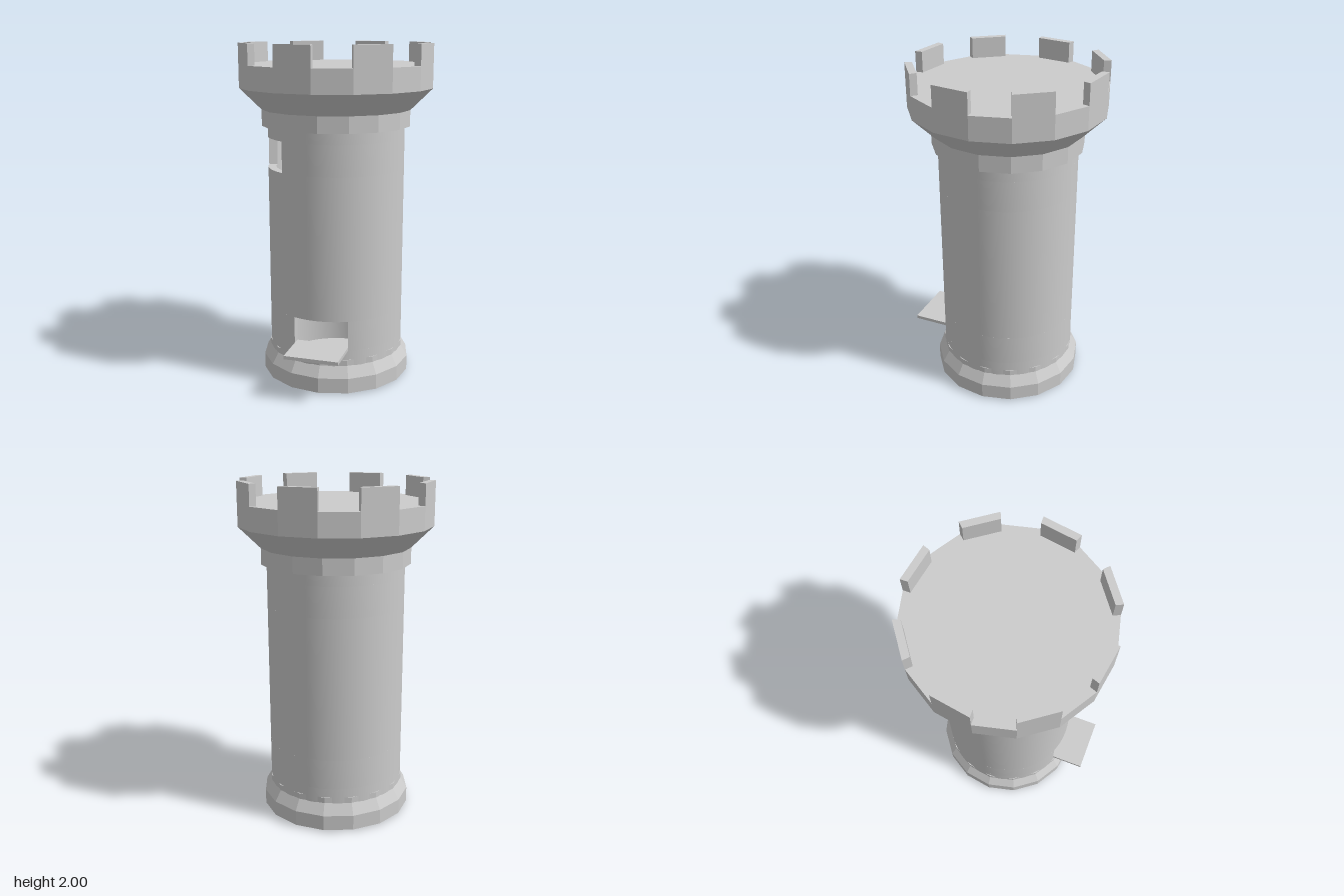
import * as THREE from 'three';
import { toCreasedNormals } from 'three/addons/utils/BufferGeometryUtils.js';

const rad = THREE.MathUtils.degToRad;
const OUTER = 0.405, INNER = 0.357;

export function createModel() {
  const model = new THREE.Group();
  model.name = 'tower';
  const smooth = new THREE.MeshStandardMaterial({ color: 0xcccccc, side: THREE.DoubleSide });
  const flat = new THREE.MeshStandardMaterial({ color: 0xcccccc, flatShading: true });

  function add(name, geometry, material, parent = model) {
    const mesh = new THREE.Mesh(geometry, material);
    mesh.name = name;
    parent.add(mesh);
    return mesh;
  }

  // Plan shape raised from y0 to y1
  function raise(shape, y0, y1) {
    const g = new THREE.ExtrudeGeometry(shape, { depth: y1 - y0, bevelEnabled: false, curveSegments: 48 });
    g.rotateX(-Math.PI / 2);
    g.translate(0, y0, 0);
    return g;
  }

  // Sixteen-sided turned part
  const turned = (points) =>
    new THREE.LatheGeometry(points.map(([r, y]) => new THREE.Vector2(r, y)), 16);

  // Hollow shaft wall; an opening has parallel reveals at t0 and t1 beside its facing angle
  function wall(y0, y1, opening) {
    const shape = new THREE.Shape();
    if (opening) {
      const { angle, t0, t1 } = opening;
      const start = (r) => angle + Math.asin(t1 / r);
      const end = (r) => angle + Math.PI * 2 + Math.asin(t0 / r);
      shape.absarc(0, 0, OUTER, start(OUTER), end(OUTER), false);
      shape.absarc(0, 0, INNER, end(INNER), start(INNER), true);
      shape.closePath();
    } else {
      shape.absarc(0, 0, OUTER, 0, Math.PI * 2, false);
      const hole = new THREE.Path();
      hole.absarc(0, 0, INNER, 0, Math.PI * 2, true);
      shape.holes.push(hole);
    }
    return toCreasedNormals(raise(shape, y0, y1), 0.6);
  }

  // Shaft with a low doorway and a high window
  const door = { angle: rad(200), t0: -0.145, t1: 0.175 };
  const windowSlot = { angle: rad(144.5), t0: -0.152, t1: 0.152 };
  const shaft = new THREE.Group();
  shaft.name = 'shaft';
  model.add(shaft);
  add('lowerWall', wall(0.02, 0.255), smooth, shaft);
  add('doorwayWall', wall(0.255, 0.435, door), smooth, shaft);
  add('middleWall', wall(0.435, 1.28), smooth, shaft);
  add('windowWall', wall(1.28, 1.46, windowSlot), smooth, shaft);
  add('upperWall', wall(1.46, 1.54), smooth, shaft);

  // Foot disc and faceted plinth, hollow inside above its floor
  const foot = add('foot', new THREE.CylinderGeometry(0.385, 0.385, 0.02, 48), smooth);
  foot.position.y = 0.01;
  add('plinth', turned([[0, 0.01], [0.45, 0.01], [0.45, 0.1], [0.411, 0.165], [0.411, 0.2], [0.38, 0.2]]), flat);

  // Collar, flared corbel and battlement deck
  add('turret', turned([
    [0, 1.525], [0.44, 1.525], [0.44, 1.62], [0.567, 1.745], [0.567, 1.88], [0, 1.88],
  ]), flat);

  // Eight merlons on alternate sides of the deck
  const step = Math.PI / 8;
  const merlons = new THREE.Group();
  merlons.name = 'merlons';
  model.add(merlons);
  for (let i = 0; i < 16; i += 2) {
    const at = (r, k) => new THREE.Vector2(r * Math.cos(k * step), r * Math.sin(k * step));
    const plan = new THREE.Shape([at(0.567, i), at(0.567, i + 1), at(0.525, i + 1), at(0.525, i)]);
    add('merlon', raise(plan, 1.88, 2), flat, merlons);
  }

  // Lowered door plank reaching out of the doorway
  const plank = new THREE.Group();
  plank.name = 'doorPlank';
  plank.rotation.y = door.angle;
  const board = add('plankBoard', new THREE.BoxGeometry(0.246, 0.02, 0.32), flat, plank);
  board.position.set(0.453, 0.265, -0.015);
  model.add(plank);

  // The plank balances the tower slightly off centre
  model.children.forEach((part) => { part.position.x += 0.012; });
  return model;
}
